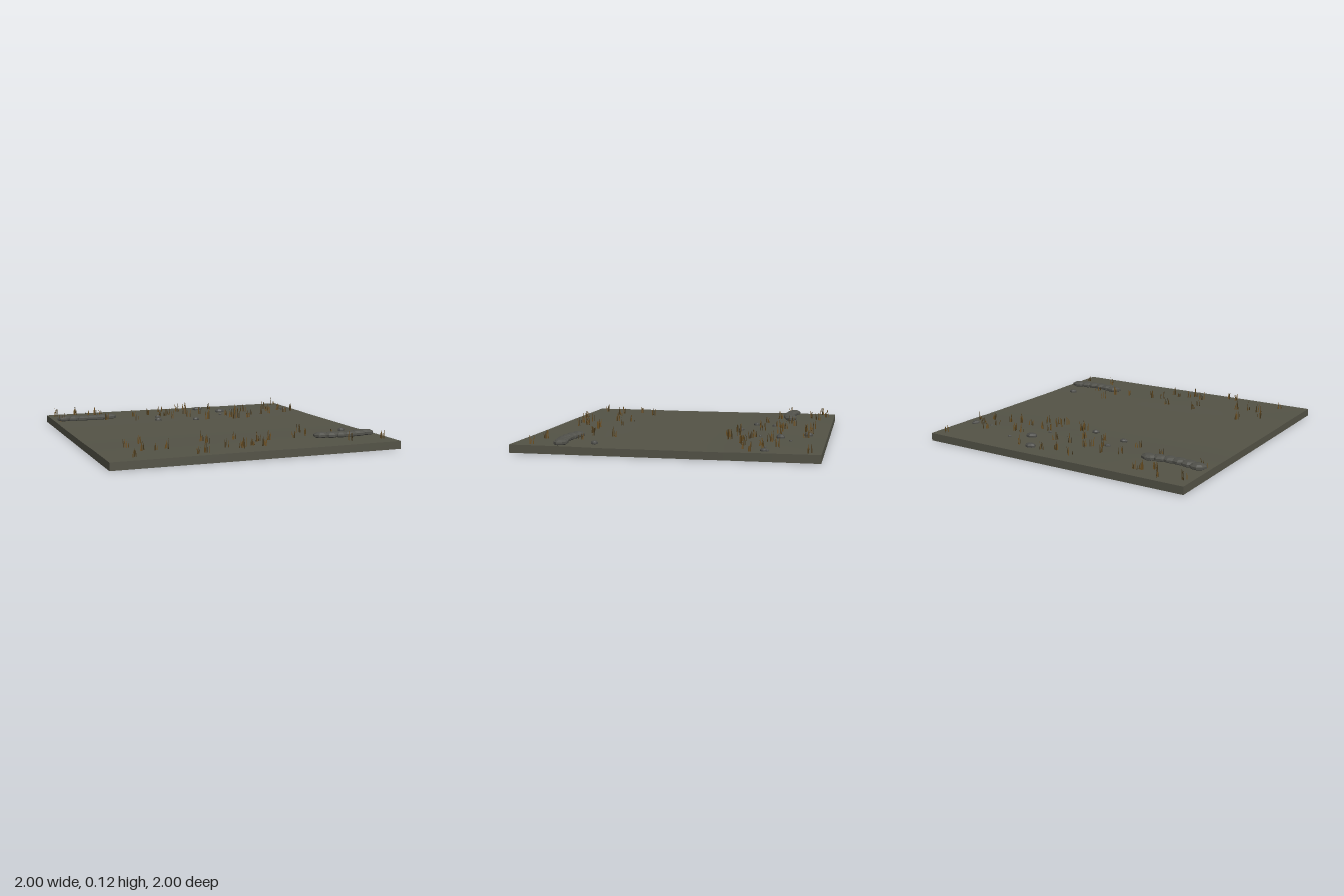
import * as THREE from 'three';
import { mergeGeometries } from 'three/addons/utils/BufferGeometryUtils.js';

const TOP = 0.053;

// tuft positions as x, z pairs
const FRONT_TUFTS = [
  -0.81, 0.89, -0.71, 0.71, -0.78, 0.57, -0.63, 0.72, -0.43, 0.93, -0.54, 0.7, -0.36, 0.93, -0.66, 0.45,
  -0.24, 0.63, -0.18, 0.81, -0.25, 0.52, -0.1, 0.87, -0.06, 0.82, 0.01, 0.79, 0.07, 0.83, -0.02, 0.53,
  0.1, 0.66, 0.18, 0.65, 0.39, 0.63, 0.5, 0.58, 0.7, 0.85, 0.51, 0.44, 0.93, 0.87, 0.69, 0.62,
];
const BACK_TUFTS = [
  -0.95, -0.89, -0.79, -0.94, -0.71, -0.83, -0.63, -0.88, -0.6, -0.9, -0.95, -0.65, -0.61, -0.59, -0.39, -0.51,
  -0.37, -0.69, -0.24, -0.74, -0.19, -0.62, -0.11, -0.5, -0.12, -0.65, -0.08, -0.68, 0.03, -0.53, -0.1, -0.88,
  0.05, -0.83, 0.17, -0.66, 0.12, -0.88, 0.05, -0.66, 0.13, -0.37, 0.16, -0.39, 0.33, -0.33, 0.34, -0.4,
  0.37, -0.34, 0.34, -0.51, 0.42, -0.49, 0.47, -0.36, 0.53, -0.47, 0.49, -0.64, 0.63, -0.45, 0.55, -0.64,
  0.71, -0.49, 0.74, -0.6, 0.75, -0.71, 0.85, -0.5, 0.85, -0.63, 0.94, -0.56, 0.94, -0.93, 0.33, -0.86,
];
// loose stones: x, z, radius
const STONES = [
  [0.23, -0.87, 0.04], [0.36, -0.69, 0.042], [0.49, -0.77, 0.015], [0.77, -0.635, 0.013],
  [0.91, -0.64, 0.029], [0.91, -0.66, 0.02], [-0.2, -0.59, 0.024], [-0.24, -0.45, 0.029],
  [0.04, -0.375, 0.028], [0.31, -0.545, 0.014], [0.84, 0.475, 0.032],
];

function makeRandom(seed) {
  return () => {
    seed = (seed * 16807) % 2147483647;
    return seed / 2147483647;
  };
}

// slab with a very shallow worn track across the middle
function groundGeometry() {
  const geo = new THREE.BoxGeometry(2, TOP, 2, 8, 1, 20).translate(0, TOP / 2, 0);
  const pos = geo.attributes.position;
  for (let i = 0; i < pos.count; i++) {
    if (pos.getY(i) < TOP / 2) continue;
    const x = pos.getX(i), z = pos.getZ(i);
    const dip = 1 - THREE.MathUtils.smoothstep(Math.abs(z), 0.35, 0.6);
    pos.setY(i, TOP - 0.003 * dip + 0.001 * Math.sin(x * 5 + z * 3) * (1 - dip));
  }
  geo.computeVertexNormals();
  return geo;
}

// one upright tapering blade whose tip leans sideways in its own plane
function bladeGeometry(x, z, height, width, lean, yaw) {
  const w = width / 2, m = lean * 0.35;
  const geo = new THREE.BufferGeometry();
  geo.setAttribute('position', new THREE.Float32BufferAttribute([
    -w, 0, 0, w, 0, 0, m + w * 0.75, height * 0.55, 0, m - w * 0.75, height * 0.55, 0, lean, height, 0,
  ], 3));
  geo.setIndex([0, 1, 2, 0, 2, 3, 3, 2, 4]);
  geo.computeVertexNormals();
  return geo.rotateY(yaw).translate(x, TOP - 0.003, z);
}

export function createModel() {
  const model = new THREE.Group();
  const mat = (name, color, extra = {}) => {
    const m = new THREE.MeshStandardMaterial({ color, ...extra });
    m.name = name;
    return m;
  };
  const earth = mat('earth', 0x535246);
  const sack = mat('sack cloth', 0x50504a, { flatShading: true });
  const rock = mat('rock', 0x4c4c48, { flatShading: true });
  const grasses = [
    mat('dry grass', 0x6b4f22, { side: THREE.DoubleSide }),
    mat('dark grass', 0x4a3c20, { side: THREE.DoubleSide }),
  ];
  const add = (parent, name, geo, material) => {
    const mesh = new THREE.Mesh(geo, material);
    mesh.name = name;
    parent.add(mesh);
    return mesh;
  };

  add(model, 'ground', groundGeometry(), earth);

  // two bowed rows of sandbags, mirrored front to back
  const lump = new THREE.SphereGeometry(1, 8, 5);
  for (const side of [-1, 1]) {
    const row = new THREE.Group();
    row.name = side < 0 ? 'backSandbagRow' : 'frontSandbagRow';
    for (let i = 0; i < 6; i++) {
      const t = (i - 2.5) / 2.5;
      const bow = 0.025 * (1 - t * t);
      const bag = add(row, 'sandbag', lump, sack);
      bag.position.set((side < 0 ? -0.75 : 0.745) + t * 0.175, 0.067, side < 0 ? -0.675 + bow : 0.675 + bow);
      bag.scale.set(0.06, 0.023, 0.048);
      bag.rotation.y = -t * 0.2;
    }
    model.add(row);
  }

  // loose stones
  const stones = new THREE.Group();
  stones.name = 'stones';
  STONES.forEach(([x, z, r], i) => {
    const stone = add(stones, 'stone', lump, rock);
    stone.position.set(x, TOP + r * 0.12, z);
    stone.scale.set(r, r * 0.5, r * 0.75);
    stone.rotation.y = (i % 3) * 0.1;
  });
  model.add(stones);

  // grass tufts, blades merged by colour
  const random = makeRandom(4217);
  const strips = [['frontGrass', FRONT_TUFTS], ['backGrass', BACK_TUFTS]];
  for (const [name, spots] of strips) {
    const blades = [[], []];
    for (let i = 0; i < spots.length; i += 2) {
      for (let k = 0; k < 5; k++) {
        const x = spots[i] + (random() - 0.5) * 0.035;
        const z = spots[i + 1] + (random() - 0.5) * 0.035;
        const height = 0.035 + random() * 0.04;
        const lean = (random() - 0.5) * 0.025;
        blades[k % 2].push(bladeGeometry(x, z, height, 0.009, lean, random() * Math.PI));
      }
    }
    blades.forEach((list, i) => add(model, name, mergeGeometries(list), grasses[i]));
  }
  return model;
}
